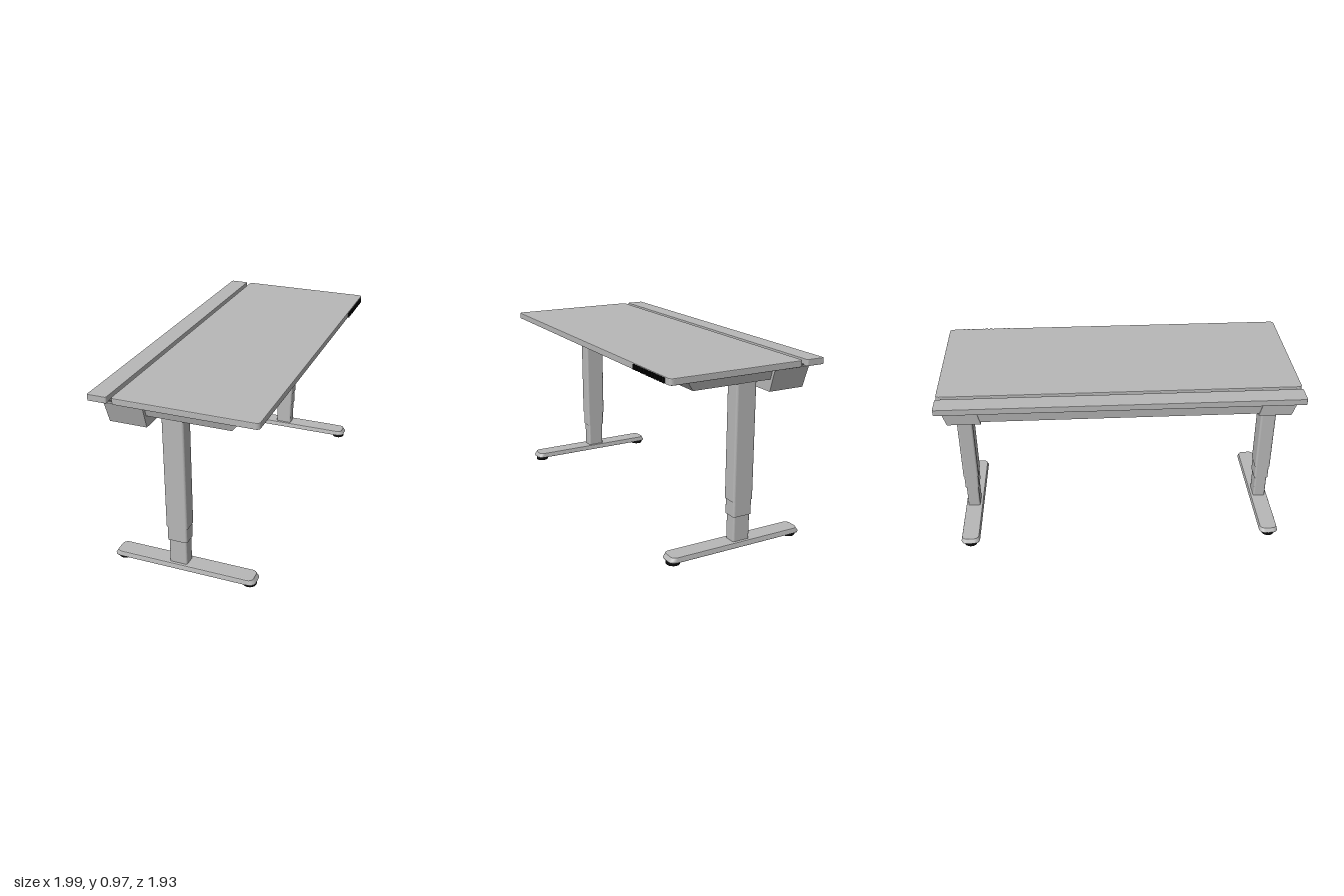
import * as THREE from 'three';

const grey = new THREE.MeshStandardMaterial({ name: 'satinGrey', color: 0xb8b8b8 });
const shade = new THREE.MeshStandardMaterial({ name: 'grooveGrey', color: 0x737373 });
const black = new THREE.MeshStandardMaterial({ name: 'rubberBlack', color: 0x0c0c0c });

// Upright block with a rounded-rectangle plan, standing on y
function slab(w, d, r, y, h, bevel = 0) {
  const x = w / 2 - bevel, z = d / 2 - bevel, q = Math.PI / 2;
  const s = new THREE.Shape();
  s.absarc(x - r, z - r, r, 0, q);
  s.absarc(-x + r, z - r, r, q, 2 * q);
  s.absarc(-x + r, -z + r, r, 2 * q, 3 * q);
  s.absarc(x - r, -z + r, r, 3 * q, 4 * q);
  const g = new THREE.ExtrudeGeometry(s, {
    depth: h - 2 * bevel, curveSegments: 5, bevelEnabled: bevel > 0,
    bevelSize: bevel, bevelThickness: bevel, bevelSegments: 2,
  });
  return g.rotateX(-Math.PI / 2).translate(0, y + bevel, 0);
}

// Side profile of [z, y] points extruded along x from x0 to x1
function rail(points, x0, x1) {
  const s = new THREE.Shape(points.map(([z, y]) => new THREE.Vector2(-z, y)));
  const g = new THREE.ExtrudeGeometry(s, { depth: x1 - x0, bevelEnabled: false });
  return g.rotateY(Math.PI / 2).translate(x0, 0, 0);
}

// Move vertices by a rule
function reshape(g, rule) {
  const p = g.attributes.position, v = new THREE.Vector3();
  for (let i = 0; i < p.count; i++) {
    rule(v.fromBufferAttribute(p, i));
    p.setXYZ(i, v.x, v.y, v.z);
  }
  g.computeVertexNormals();
  return g;
}
const UNDER = 0.933;
const taperEnds = (g) => reshape(g, (v) => { v.x *= 1 - 0.33 * (UNDER - v.y); });

export function createModel() {
  const model = new THREE.Group();
  model.name = 'standingDesk';
  const desk = new THREE.Group();
  desk.name = 'desk';
  desk.rotation.y = 0.741;
  model.add(desk);

  const add = (name, geo, mat, x = 0, y = 0, z = 0, parent = desk) => {
    const m = new THREE.Mesh(geo, mat);
    m.name = name;
    m.position.set(x, y, z);
    parent.add(m);
    return m;
  };

  // Worktop and separate rear strip with a cable groove between them
  add('worktop', slab(1.912, 0.752, 0.016, UNDER, 0.034, 0.004), grey, 0, 0, 0.064);
  add('rearStrip', slab(1.912, 0.105, 0.006, UNDER, 0.034, 0.003), grey, 0, 0, -0.3875);
  add('grooveFloor', new THREE.BoxGeometry(1.86, 0.006, 0.026), shade, 0, 0.937, -0.3235);

  // Frame under the worktop: front rail and cable tray
  add('frontRail', taperEnds(rail([[0.33, UNDER], [0.29, 0.88], [0.265, 0.88], [0.3, UNDER]], -0.92, 0.92)), grey);
  add('cableTray', taperEnds(rail(
    [[-0.17, UNDER], [-0.2, 0.88], [-0.2, 0.828], [-0.345, 0.828], [-0.355, UNDER]], -0.94, 0.94)), grey);

  for (const side of [-1, 1]) {
    const label = side > 0 ? 'left' : 'right';
    const span = (a, b) => (side > 0 ? [a, b] : [-b, -a]);

    // End bracket and tray end block
    add(label + 'Bracket', taperEnds(rail(
      [[0.33, UNDER], [0.29, 0.88], [-0.25, 0.88], [-0.25, UNDER]], ...span(0.825, 0.925))), grey);
    add(label + 'TrayEnd', taperEnds(rail(
      [[-0.15, UNDER], [-0.15, 0.817], [-0.35, 0.817], [-0.357, UNDER]], ...span(0.76, 0.943))), grey);

    // Telescopic leg in three stages
    const leg = new THREE.Group();
    leg.name = label + 'Leg';
    leg.position.set(side * 0.86, 0, -0.018);
    desk.add(leg);
    add('upperStage', slab(0.087, 0.116, 0.012, 0.268, 0.615), grey, 0, 0, 0, leg);
    add('middleStage', slab(0.08, 0.108, 0.011, 0.186, 0.09), grey, 0, 0, 0, leg);
    add('lowerStage', slab(0.069, 0.097, 0.01, 0.045, 0.15), grey, 0, 0, 0, leg);

    // Foot with sloped edges, on round pads
    const foot = reshape(slab(0.105, 0.785, 0.025, 0.02, 0.03, 0.006), (v) => {
      if (v.y > 0.036) { v.x *= 0.93; v.z *= 0.97; }
    });
    add('foot', foot, grey, 0, 0, 0.028, leg);
    for (const end of [-1, 1]) {
      add('pad', new THREE.CylinderGeometry(0.036, 0.036, 0.021, 16), black, 0, 0.0105, 0.028 + end * 0.352, leg);
    }
  }

  // Control strip on the front edge with a row of small keys
  add('controlStrip', new THREE.BoxGeometry(0.3, 0.022, 0.006), black, 0.758, 0.95, 0.44);
  for (let i = 0; i < 12; i++) {
    add('controlKey', new THREE.BoxGeometry(0.014, 0.026, 0.008), black, 0.615 + i * 0.026, 0.95, 0.444);
  }
  return model;
}
